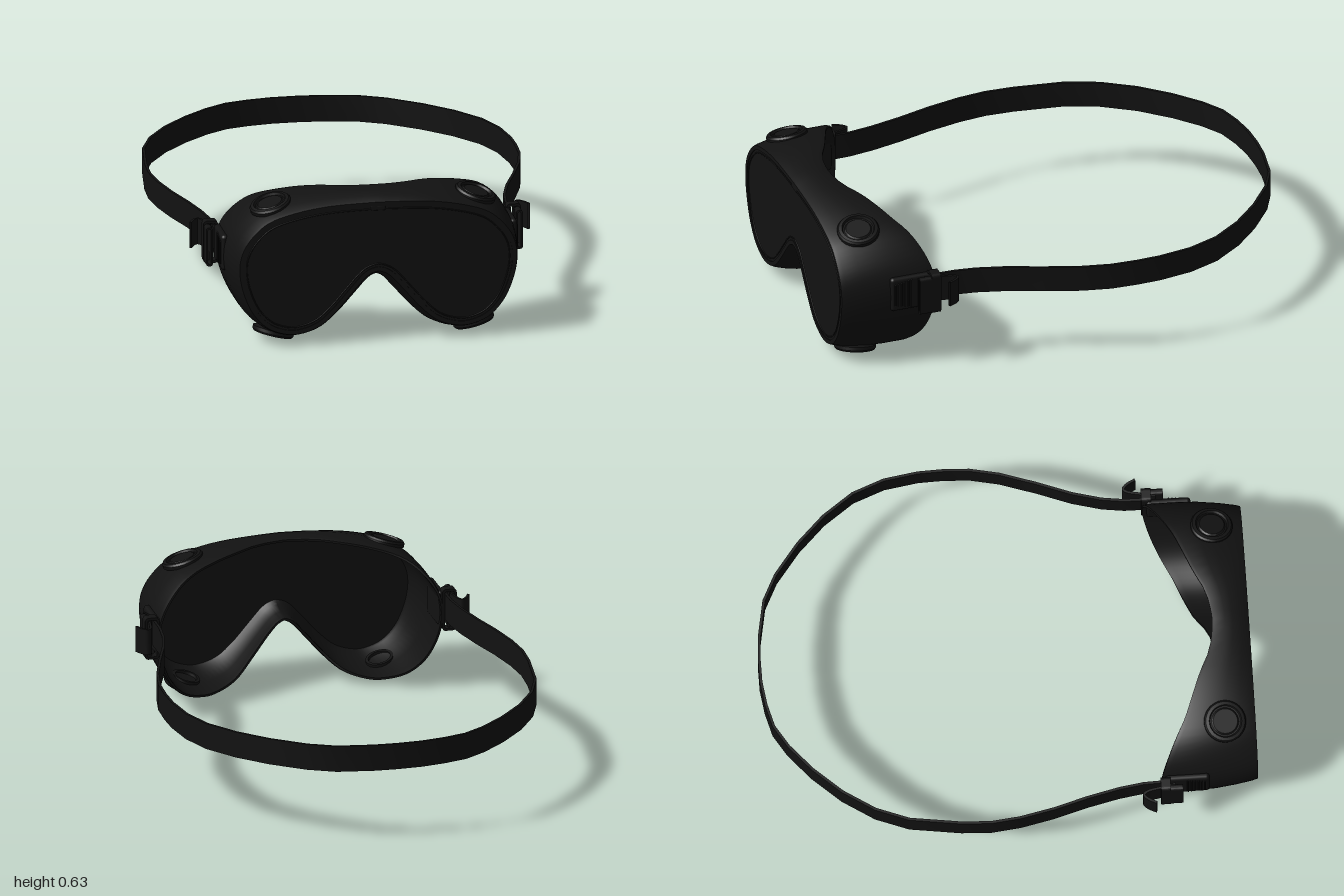
import * as THREE from 'three';
import { toCreasedNormals } from 'three/addons/utils/BufferGeometryUtils.js';
import { RoundedBoxGeometry } from 'three/addons/geometries/RoundedBoxGeometry.js';

const rubber = new THREE.MeshStandardMaterial({ color: 0x121212, side: THREE.DoubleSide });

function add(parent, name, geometry, x = 0, y = 0, z = 0) {
  const mesh = new THREE.Mesh(geometry, rubber);
  mesh.name = name;
  mesh.position.set(x, y, z);
  parent.add(mesh);
  return mesh;
}

// Skin a list of equal-length closed loops; optionally join the last loop to the first
function loft(loops, wrap = false, crease = 0.6) {
  const n = loops[0].length, index = [];
  const rows = wrap ? loops.length : loops.length - 1;
  for (let i = 0; i < rows; i++) {
    for (let j = 0; j < n; j++) {
      const i2 = (i + 1) % loops.length, j2 = (j + 1) % n;
      const a = i * n + j, b = i * n + j2, c = i2 * n + j, d = i2 * n + j2;
      index.push(a, b, c, b, d, c);
    }
  }
  const g = new THREE.BufferGeometry();
  g.setAttribute('position', new THREE.Float32BufferAttribute(loops.flat(2), 3));
  g.setIndex(index);
  return toCreasedNormals(g, crease);
}

// Mask outline: half from the top centre round to the nose, then mirrored
const half = new THREE.SplineCurve([
  [0, 0.63], [0.2, 0.623], [0.35, 0.6], [0.47, 0.56], [0.55, 0.49], [0.595, 0.41],
  [0.605, 0.32], [0.585, 0.22], [0.54, 0.125], [0.47, 0.055], [0.38, 0.022], [0.3, 0.026],
  [0.22, 0.058], [0.15, 0.12], [0.08, 0.2], [0.03, 0.256], [0, 0.272],
].map(p => new THREE.Vector2(...p))).getPoints(64);
const outline = [...half, ...half.slice(1, -1).reverse().map(p => new THREE.Vector2(-p.x, p.y))];

// Outline moved inwards by d
function inset(d) {
  const n = outline.length;
  return outline.map((p, i) => {
    const t = outline[(i + 1) % n].clone().sub(outline[(i + n - 1) % n]).normalize();
    return new THREE.Vector2(p.x + t.y * d, p.y - t.x * d);
  });
}

// Depth of the face-side edge, deepest at the temples
const backCurve = [[0, 0.85], [0.07, 0.845], [0.14, 0.825], [0.22, 0.785], [0.4, 0.715], [0.52, 0.65], [0.61, 0.6]];
function backZ(x) {
  const u = Math.min(Math.abs(x), 0.609);
  const k = backCurve.findIndex(p => p[0] > u);
  const [x0, z0] = backCurve[k - 1], [x1, z1] = backCurve[k];
  return z0 + (z1 - z0) * (u - x0) / (x1 - x0);
}

// Upright band along a path of [x, z] points
function band(path, y0, y1, thick) {
  return loft(path.map(([x, z], i) => {
    const a = path[Math.max(i - 1, 0)], b = path[Math.min(i + 1, path.length - 1)];
    const len = Math.hypot(b[0] - a[0], b[1] - a[1]);
    const nx = -(b[1] - a[1]) / len * thick / 2, nz = (b[0] - a[0]) / len * thick / 2;
    return [[x + nx, y0, z + nz], [x + nx, y1, z + nz], [x - nx, y1, z - nz], [x - nx, y0, z - nz]];
  }));
}

// Rounded rectangular loop in the xy plane
function loopFrame(w, h, rim, depth) {
  const trace = (s, hw, hh, r) => {
    s.absarc(hw - r, hh - r, r, 0, Math.PI / 2);
    s.absarc(-hw + r, hh - r, r, Math.PI / 2, Math.PI);
    s.absarc(-hw + r, -hh + r, r, Math.PI, Math.PI * 1.5);
    s.absarc(hw - r, -hh + r, r, Math.PI * 1.5, Math.PI * 2);
    s.closePath();
    return s;
  };
  const shape = trace(new THREE.Shape(), w / 2, h / 2, Math.min(w * 0.4, 0.015));
  shape.holes.push(trace(new THREE.Path(), w / 2 - rim, h / 2 - rim, Math.min(w / 2 - rim, 0.006) * 0.9));
  return new THREE.ExtrudeGeometry(shape, { depth, bevelEnabled: false, curveSegments: 5 });
}

// Round vent cap with a raised rim, open on the inside
const ventGeometry = toCreasedNormals(new THREE.LatheGeometry([
  [0, 0.008], [0.05, 0.008], [0.056, 0.002], [0.062, 0.002], [0.067, 0.012], [0.08, 0.01],
  [0.086, 0.002], [0.086, -0.012], [0.06, -0.016], [0.058, -0.032], [0.046, -0.032], [0.044, -0.012], [0, -0.012],
].map(p => new THREE.Vector2(...p)), 40), 0.5);

function createSide() {
  const side = new THREE.Group();
  // Vents above and below the eye
  const top = add(side, 'topVent', ventGeometry, 0.425, 0.577, 0.875);
  top.rotation.set(0.12, 0, -0.29);
  const bottom = add(side, 'bottomVent', ventGeometry, 0.415, 0.033, 0.885);
  bottom.rotation.set(-0.12, 0, -Math.PI + 0.26);

  // Strap lug with grip ribs
  add(side, 'strapLug', new RoundedBoxGeometry(0.03, 0.15, 0.18, 3, 0.014), 0.597, 0.35, 0.71);
  for (let i = 0; i < 6; i++) {
    add(side, 'gripRib', new RoundedBoxGeometry(0.01, 0.13 - i * 0.006, 0.007, 1, 0.003), 0.611, 0.35, 0.712 + i * 0.014);
  }

  // Buckle: two loops and a cross bar
  add(side, 'buckleFrame', loopFrame(0.06, 0.18, 0.011, 0.04), 0.627, 0.35, 0.6);
  add(side, 'buckleLoop', loopFrame(0.028, 0.165, 0.008, 0.05), 0.641, 0.345, 0.64);
  add(side, 'buckleBar', new THREE.CylinderGeometry(0.007, 0.007, 0.17, 10), 0.629, 0.35, 0.62);

  // Loose strap end folded outwards
  const tail = new THREE.SplineCurve([[0.625, 0.66], [0.637, 0.6], [0.648, 0.548], [0.663, 0.53], [0.683, 0.547], [0.7, 0.58]]
    .map(p => new THREE.Vector2(...p))).getPoints(20).map(p => [p.x, p.y]);
  add(side, 'strapTail', band(tail, 0.31, 0.42, 0.01), 0, 0, 0);
  return side;
}

export function createModel() {
  const model = new THREE.Group();
  model.name = 'safetyGoggles';

  const mask = new THREE.Group();
  mask.name = 'mask';
  mask.position.x = -0.025;
  model.add(mask);

  // Hollow body: [inset, depth fraction] from the front rim round to the inside
  const section = [[0.05, 0.03], [0.05, 0], [0.032, 0], [0.026, 0.05], [0.014, 0.22], [0.003, 0.45], [0, 0.65],
    [0, 0.94], [0.004, 1], [0.013, 1], [0.015, 0.9], [0.016, 0.55], [0.03, 0.2], [0.045, 0.08]];
  add(mask, 'body', loft(section.map(([d, t]) => inset(d).map((p, i) =>
    [p.x, p.y, 1 - t * (1 - backZ(outline[i].x))])), true));

  // Flat lens with a fine seam inside its edge
  add(mask, 'lens', new THREE.ExtrudeGeometry(new THREE.Shape(inset(0.045)), { depth: 0.01, bevelEnabled: false }), 0, 0, 0.986);
  const seam = new THREE.CatmullRomCurve3(inset(0.062).map(p => new THREE.Vector3(p.x, p.y, 0.996)), true);
  add(mask, 'lensSeam', new THREE.TubeGeometry(seam, 160, 0.003, 6, true));
  add(mask, 'lensTab', new RoundedBoxGeometry(0.06, 0.022, 0.012, 2, 0.005), 0, 0.572, 0.993);

  const left = createSide();
  left.name = 'leftSide';
  const right = createSide();
  right.name = 'rightSide';
  right.scale.x = -1;
  mask.add(left, right);

  // Head strap from one buckle round to the other
  add(model, 'headStrap', band([
    [-0.637, 0.63], [-0.64, 0.53], [-0.655, 0.43], [-0.685, 0.3], [-0.725, 0.16], [-0.755, 0.02], [-0.768, -0.1],
    [-0.762, -0.22], [-0.732, -0.43], [-0.68, -0.565], [-0.595, -0.695], [-0.49, -0.81], [-0.385, -0.9],
    [-0.295, -0.955], [-0.2, -0.98], [-0.1, -0.994], [0, -0.995], [0.1, -0.988], [0.25, -0.96], [0.36, -0.905],
    [0.49, -0.805], [0.6, -0.695], [0.69, -0.57], [0.74, -0.44], [0.762, -0.3], [0.765, -0.2], [0.76, -0.09],
    [0.735, 0.03], [0.685, 0.18], [0.632, 0.32], [0.6, 0.44], [0.588, 0.53], [0.587, 0.63],
  ], 0.31, 0.42, 0.011));

  return model;
}
